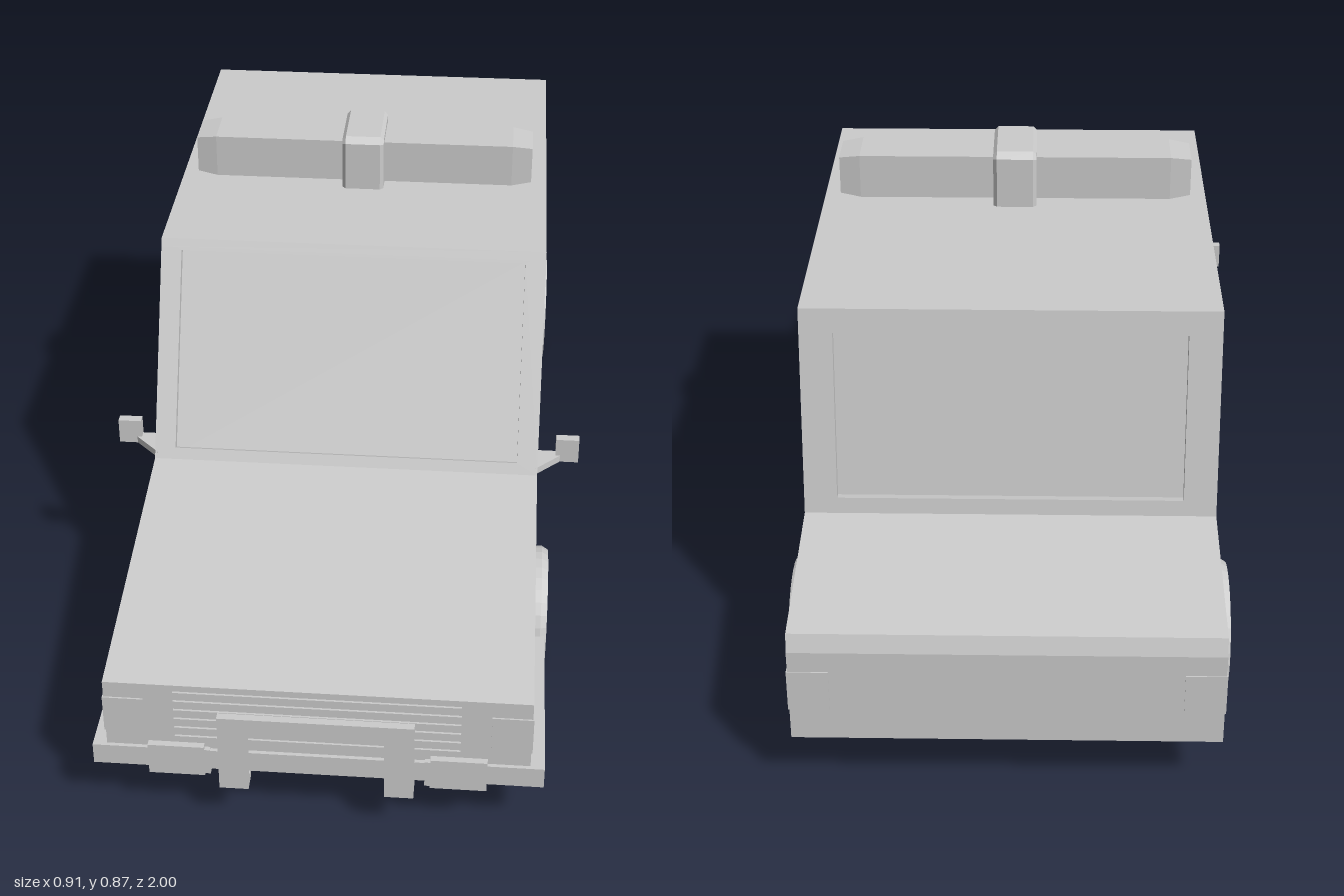
import * as THREE from 'three';

const mat = new THREE.MeshStandardMaterial({ color: 0xcccccc, flatShading: true, side: THREE.DoubleSide });
const HALF = 0.375; // half width of the body

function add(parent, name, geo, x = 0, y = 0, z = 0) {
  const m = new THREE.Mesh(geo, mat);
  m.name = name;
  m.position.set(x, y, z);
  parent.add(m);
  return m;
}

function box(parent, name, x0, x1, y0, y1, z0, z1) {
  return add(parent, name, new THREE.BoxGeometry(x1 - x0, y1 - y0, z1 - z0),
    (x0 + x1) / 2, (y0 + y1) / 2, (z0 + z1) / 2);
}

const poly = (pts) => new THREE.Shape(pts.map((p) => new THREE.Vector2(p[0], p[1])));

// Extrudes a side profile of [z, y] points across x, from x0 to x1
function across(pts, x0, x1, holes = [], bevel = {}) {
  const s = poly(pts);
  holes.forEach((h) => s.holes.push(poly(h)));
  const g = new THREE.ExtrudeGeometry(s, { depth: x1 - x0, bevelEnabled: false, ...bevel });
  return g.rotateY(-Math.PI / 2).translate(x1, 0, 0);
}

// Sloping window frame from its foot [z, y] to its head [z, y]
function slopedFrame(parent, name, foot, head, w, low, high, back) {
  const rise = head[1] - foot[1];
  const run = Math.abs(head[0] - foot[0]);
  const len = Math.hypot(rise, run);
  const at = (y) => ((y - foot[1]) / rise) * len;
  const s = poly([[-HALF, 0], [HALF, 0], [HALF, len], [-HALF, len]]);
  s.holes.push(poly([[-w, at(low)], [-w, at(high)], [w, at(high)], [w, at(low)]]));
  const g = new THREE.ExtrudeGeometry(s, { depth: 0.015, bevelEnabled: false }).translate(0, 0, -0.015);
  const m = add(parent, name, g, 0, foot[1], foot[0]);
  m.rotation.set(-Math.atan2(run, rise), back ? Math.PI : 0, 0, 'YXZ');
}

// Hollow wheel whose outer side faces +x
function makeWheel(name) {
  const wheel = new THREE.Group();
  wheel.name = name;
  const profile = [[0.106, -0.08], [0.119, -0.08], [0.125, -0.07], [0.125, 0.068], [0.118, 0.08],
    [0.103, 0.08], [0.096, 0.06], [0.106, 0.05], [0.106, -0.08]];
  const tyre = new THREE.LatheGeometry(profile.map((p) => new THREE.Vector2(p[0], p[1])), 32);
  add(wheel, 'tyre', tyre.rotateZ(-Math.PI / 2));

  // Rim with wedge-shaped openings between the spokes
  const rim = new THREE.Shape().absarc(0, 0, 0.104, 0, Math.PI * 2);
  const spokes = 8;
  for (let i = 0; i < spokes; i++) {
    const a = (i / spokes) * Math.PI * 2 + Math.PI / 2;
    const hole = [[0.046, -0.16], [0.083, -0.27], [0.087, 0], [0.083, 0.27], [0.046, 0.16]];
    rim.holes.push(poly(hole.map(([r, t]) => [r * Math.cos(a + t), r * Math.sin(a + t)])));
  }
  const disc = new THREE.ExtrudeGeometry(rim, { depth: 0.014, bevelEnabled: false, curveSegments: 16 });
  add(wheel, 'rim', disc.rotateY(Math.PI / 2), 0.052);
  add(wheel, 'hub', new THREE.CylinderGeometry(0.028, 0.034, 0.02, 16).rotateZ(-Math.PI / 2), 0.066);
  return wheel;
}

export function createModel() {
  const car = new THREE.Group();
  car.name = 'car';

  // Lower body
  add(car, 'body', across([[0.97, 0.117], [0.97, 0.298], [0.4, 0.375], [-0.68, 0.37], [-0.99, 0.333],
    [-1, 0.3], [-1, 0.117]], -HALF, HALF));

  // Cabin: recessed glass core, roof slab and window frames
  const cabin = new THREE.Group();
  cabin.name = 'cabin';
  car.add(cabin);
  add(cabin, 'glass', across([[0.391, 0.36], [0.188, 0.75], [-0.606, 0.75], [-0.666, 0.36]], -0.364, 0.364));
  add(cabin, 'roof', across([[0.208, 0.745], [0.2, 0.76], [-0.62, 0.76], [-0.622, 0.745]], -HALF, HALF));
  const sideOutline = [[0.4, 0.372], [0.2, 0.76], [-0.62, 0.76], [-0.68, 0.37]];
  const windows = [
    [[0.328, 0.39], [-0.16, 0.39], [-0.168, 0.74], [0.16, 0.74]],
    [[-0.183, 0.39], [-0.632, 0.39], [-0.59, 0.74], [-0.19, 0.74]],
  ];
  add(cabin, 'leftWindowFrame', across(sideOutline, 0.363, HALF, windows));
  add(cabin, 'rightWindowFrame', across(sideOutline, -HALF, -0.363, windows));
  slopedFrame(cabin, 'windshieldFrame', [0.4, 0.375], [0.2, 0.76], 0.335, 0.395, 0.74, false);
  slopedFrame(cabin, 'rearWindowFrame', [-0.68, 0.37], [-0.62, 0.76], 0.315, 0.4, 0.715, true);

  // Roof light bar with tapered ends and a raised middle block
  const bar = new THREE.Group();
  bar.name = 'lightBar';
  car.add(bar);
  const taper = { bevelEnabled: true, bevelThickness: 0.04, bevelSize: 0.006, bevelSegments: 1 };
  add(bar, 'lights', across([[-0.074, 0.772], [-0.074, 0.847], [-0.156, 0.847], [-0.156, 0.772]],
    -0.303, 0.303, [], taper));
  const edge = { bevelEnabled: true, bevelThickness: 0.007, bevelSize: 0.007, bevelSegments: 1 };
  add(bar, 'middleBlock', across([[-0.047, 0.755], [-0.047, 0.857], [-0.055, 0.865], [-0.176, 0.865],
    [-0.184, 0.857], [-0.184, 0.755]], -0.035, 0.035, [], edge));

  // Grille slats
  for (let i = 0; i < 6; i++) {
    const y = 0.175 + i * 0.02;
    box(car, 'grilleSlat', -0.252, 0.252, y, y + 0.01, 0.965, 0.974);
  }

  // Front bumper and push bar
  box(car, 'frontBumper', -0.4, 0.4, 0.115, 0.157, 0.95, 0.977);
  const pushBar = new THREE.Group();
  pushBar.name = 'pushBar';
  car.add(pushBar);
  box(pushBar, 'crossBar', -0.172, 0.172, 0.225, 0.255, 0.986, 1);

  for (const s of [-1, 1]) {
    const side = s > 0 ? 'left' : 'right';
    const mirrored = (parent, name, a, b, ...rest) =>
      box(parent, side + name, Math.min(s * a, s * b), Math.max(s * a, s * b), ...rest);
    mirrored(car, 'BumperReturn', 0.37, 0.4, 0.115, 0.157, 0.6, 0.977);
    mirrored(car, 'BumperGuard', 0.2, 0.3, 0.103, 0.168, 0.96, 0.982);
    mirrored(car, 'BumperGuardEnd', 0.19, 0.2, 0.105, 0.16, 0.96, 0.979);
    mirrored(pushBar, 'Post', 0.12, 0.172, 0.093, 0.255, 0.986, 1);
    mirrored(pushBar, 'Foot', 0.12, 0.172, 0.093, 0.112, 0.965, 1);

    // Corner lamps
    mirrored(car, 'Headlamp', 0.305, 0.377, 0.19, 0.265, 0.93, 0.973);
    mirrored(car, 'TailLamp', 0.305, 0.377, 0.18, 0.26, -1.002, -0.96);

    // Door mirror on a tapered arm
    const arm = poly([[s * 0.37, -0.395], [s * 0.42, -0.345], [s * 0.42, -0.33], [s * 0.37, -0.33]]);
    const armGeo = new THREE.ExtrudeGeometry(arm, { depth: 0.014, bevelEnabled: false }).rotateX(-Math.PI / 2);
    add(car, side + 'MirrorArm', armGeo, 0, 0.373, 0);
    mirrored(car, 'Mirror', 0.41, 0.455, 0.373, 0.424, 0.328, 0.346);

    // Wheels
    for (const [end, z] of [['Front', 0.5], ['Rear', -0.678]]) {
      const wheel = makeWheel(side + end + 'Wheel');
      wheel.position.set(s * 0.323, 0.125, z);
      if (s < 0) wheel.rotation.y = Math.PI;
      car.add(wheel);
    }
  }
  return car;
}
